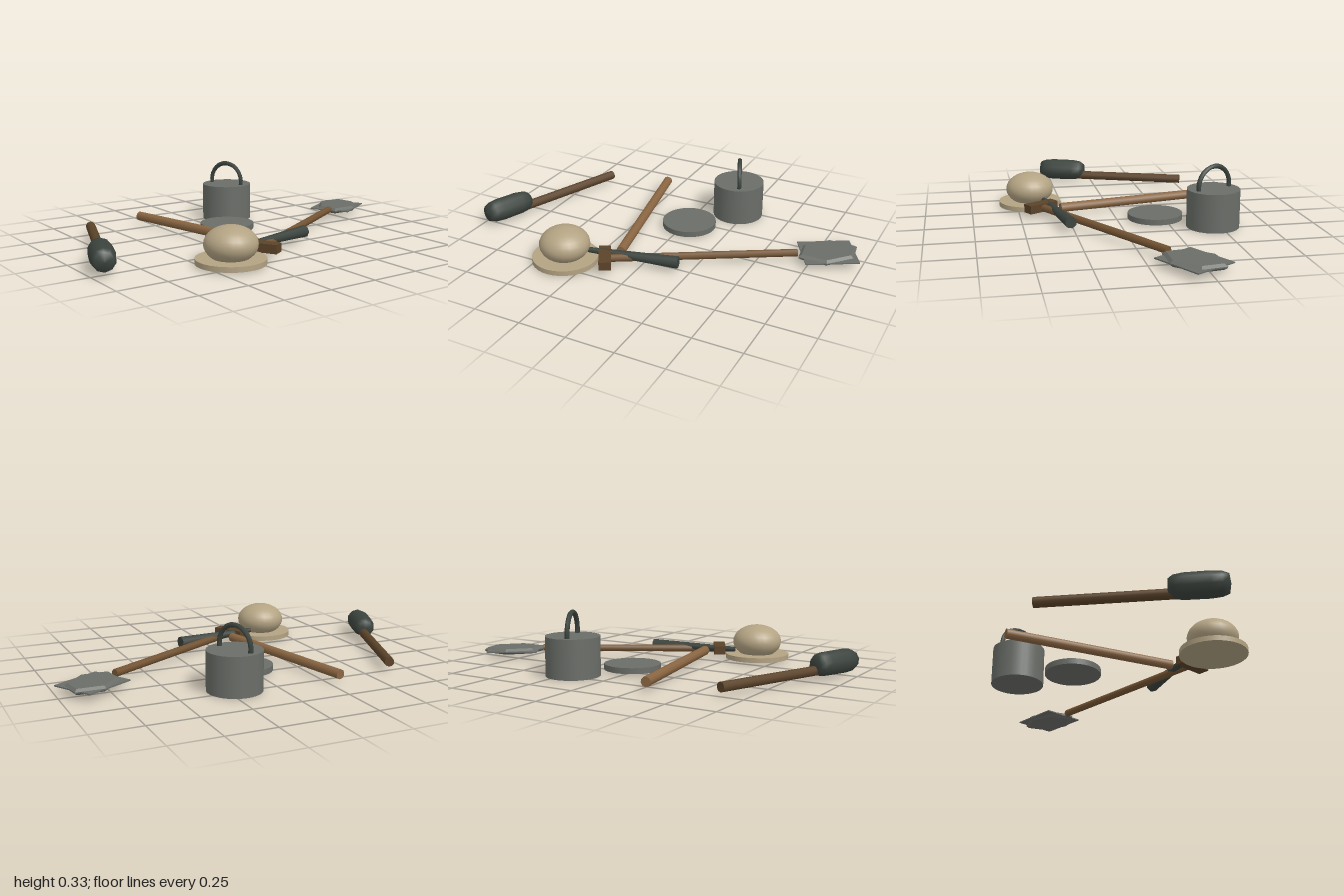
import * as THREE from 'three';

const mat = (name, color) => new THREE.MeshStandardMaterial({ name, color });

export function createModel() {
  const group = new THREE.Group();
  const steel = mat('grey steel', 0x6a6d68);
  const iron = mat('dark iron', 0x3c443e);
  const lightWood = mat('light wood', 0x8a6642);
  const midWood = mat('mid wood', 0x745433);
  const darkWood = mat('dark wood', 0x5b4329);
  const straw = mat('straw', 0xb3a383);

  const add = (name, geometry, material, x, y, z, parent = group) => {
    const mesh = new THREE.Mesh(geometry, material);
    mesh.name = name;
    mesh.position.set(x, y, z);
    parent.add(mesh);
    return mesh;
  };
  // Tapered rod lying between two points
  const rod = (name, a, b, rA, rB, sides, material) => {
    const from = new THREE.Vector3(...a), to = new THREE.Vector3(...b);
    const dir = to.clone().sub(from);
    const mid = from.clone().add(to).multiplyScalar(0.5);
    const mesh = add(name, new THREE.CylinderGeometry(rB, rA, dir.length(), sides), material, mid.x, mid.y, mid.z);
    mesh.quaternion.setFromUnitVectors(new THREE.Vector3(0, 1, 0), dir.normalize());
    return mesh;
  };

  // Bucket with arched handle
  add('bucket', new THREE.CylinderGeometry(0.137, 0.137, 0.2, 32), steel, -0.465, 0.1, -0.207);
  const bail = add('bucketHandle', new THREE.TorusGeometry(0.1, 0.0125, 6, 14, Math.PI * 1.12), iron, -0.467, 0.217, -0.207);
  bail.rotation.set(0, 0.4, -Math.PI * 0.06, 'YXZ');

  // Loose lid
  add('lid', new THREE.CylinderGeometry(0.145, 0.145, 0.03, 32), steel, -0.2, 0.023, -0.03);

  // Hat
  add('hatBrim', new THREE.CylinderGeometry(0.17, 0.17, 0.026, 32), straw, 0.427, 0.021, 0.37);
  add('hatCrown', new THREE.SphereGeometry(0.13, 24, 16), straw, 0.427, 0.1, 0.37).scale.y = 0.69;

  // Shovel
  rod('shovelShaft', [-0.11, 0.046, -0.685], [0.375, 0.046, 0.14], 0.02, 0.02, 8, midWood);
  add('shovelGrip', new THREE.BoxGeometry(0.175, 0.045, 0.062), darkWood, 0.386, 0.048, 0.16).rotation.y = Math.PI / 6;
  add('shovelBlade', new THREE.BoxGeometry(0.232, 0.006, 0.275), steel, -0.195, 0.038, -0.82).rotation.y = Math.PI / 6;
  const half = [[0.105, -0.105], [0, -0.12], [-0.105, -0.026]];
  const hex = new THREE.Shape([...half, ...half.map(([x, y]) => [-x, -y])].map((p) => new THREE.Vector2(...p)));
  const boss = new THREE.ExtrudeGeometry(hex, {
    depth: 0.006, bevelThickness: 0.012, bevelSize: 0.014, bevelSegments: 1,
  });
  boss.translate(0, 0, -0.003).rotateX(-Math.PI / 2);
  add('bladeCentre', boss, steel, -0.195, 0.038, -0.82);

  // Loose pole and tapered iron bar
  rod('pole', [-0.588, 0.046, 0.3], [0.285, 0.046, 0.125], 0.025, 0.025, 10, lightWood);
  rod('ironBar', [0.27, 0.055, -0.195], [0.36, 0.055, 0.27], 0.032, 0.014, 7, iron);

  // Mallet with rounded head
  rod('malletShaft', [-0.507, 0.046, 0.64], [0.12, 0.046, 0.875], 0.025, 0.025, 10, darkWood);
  const profile = [[0, -0.137], [0.038, -0.137], [0.054, -0.115], [0.061, -0.07], [0.062, 0.05],
    [0.057, 0.1], [0.045, 0.13], [0, 0.137]].map((p) => new THREE.Vector2(...p));
  const head = add('malletHead', new THREE.LatheGeometry(profile, 10), iron, 0.178, 0.075, 0.907);
  head.quaternion.setFromUnitVectors(new THREE.Vector3(0, 1, 0), new THREE.Vector3(0.937, 0, 0.35).normalize());

  return group;
}
